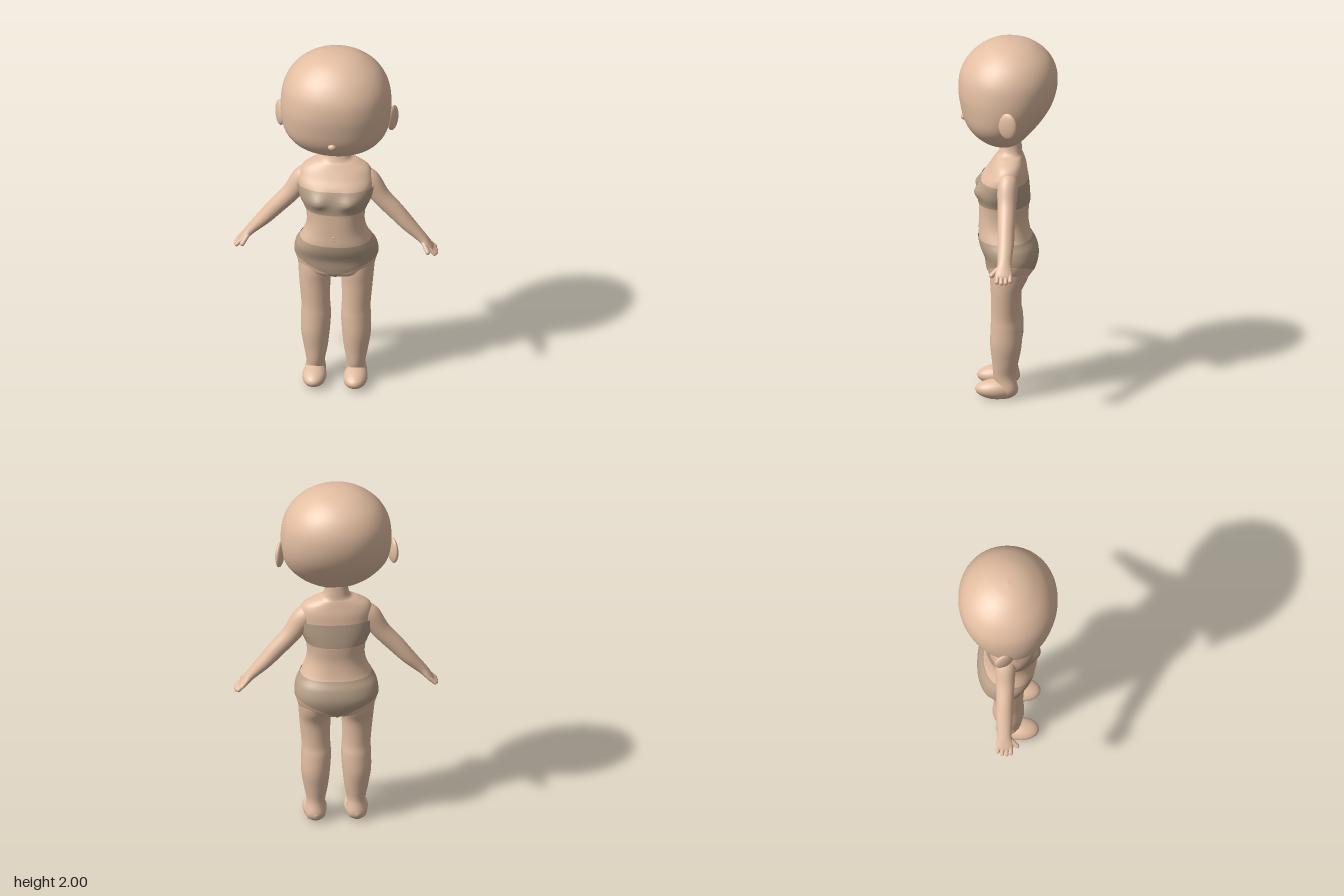
import * as THREE from 'three';

const skin = new THREE.MeshStandardMaterial({ color: 0xe3bea2 });
const cloth = new THREE.MeshStandardMaterial({ color: 0xb8a088, side: THREE.DoubleSide });

function mesh(name, geometry, material = skin) {
  const m = new THREE.Mesh(geometry, material);
  m.name = name;
  return m;
}

// Closed tube-like surface: fn(angle, t) gives a point
function surface(fn, nu = 48, nv = 60) {
  const pos = [], index = [];
  for (let j = 0; j <= nv; j++)
    for (let i = 0; i < nu; i++) pos.push(...fn((i / nu) * Math.PI * 2, j / nv));
  for (let j = 0; j < nv; j++)
    for (let i = 0; i < nu; i++) {
      const a = j * nu + i, b = j * nu + ((i + 1) % nu);
      index.push(a, a + nu, b, b, a + nu, b + nu);
    }
  const g = new THREE.BufferGeometry();
  g.setAttribute('position', new THREE.Float32BufferAttribute(pos, 3));
  g.setIndex(index);
  g.computeVertexNormals();
  return g;
}

// Smooth interpolation between section rows, t from 0 to 1
function rowAt(rows, t) {
  const n = rows.length - 1, f = t * n;
  const i = Math.min(Math.floor(f), n - 1), s = f - i;
  const [a, b, c, d] = [-1, 0, 1, 2].map(k => rows[Math.min(n, Math.max(0, i + k))]);
  return b.map((p1, k) => 0.5 * (2 * p1 + (c[k] - a[k]) * s
    + (2 * a[k] - 5 * p1 + 4 * c[k] - d[k]) * s * s
    + (3 * p1 - a[k] - 3 * c[k] + d[k]) * s * s * s));
}

// Same, looked up by height
function rowAtY(rows, y) {
  let lo = 0, hi = 1;
  for (let k = 0; k < 24; k++) {
    const mid = (lo + hi) / 2;
    if (rowAt(rows, mid)[0] < y) lo = mid; else hi = mid;
  }
  return rowAt(rows, lo);
}

// Point on a horizontal section: [y, centre x, half width, front z, back z]
function ringPoint([y, cx, rx, zf, zb], a, n = 2) {
  const pw = v => Math.sign(v) * Math.abs(v) ** (2 / n);
  return [cx + rx * pw(Math.cos(a)), y, (zf + zb) / 2 + ((zf - zb) / 2) * pw(Math.sin(a))];
}

const headRows = [
  [1.41, 0, 0.001, 0.02, 0.018], [1.415, 0, 0.09, 0.08, -0.045], [1.45, 0, 0.175, 0.145, -0.09],
  [1.5, 0, 0.235, 0.2, -0.135], [1.56, 0, 0.275, 0.235, -0.185], [1.64, 0, 0.293, 0.255, -0.235],
  [1.73, 0, 0.295, 0.265, -0.262], [1.82, 0, 0.278, 0.252, -0.26], [1.9, 0, 0.23, 0.205, -0.223],
  [1.96, 0, 0.155, 0.135, -0.155], [1.99, 0, 0.08, 0.068, -0.08], [2, 0, 0.001, 0, -0.002],
];
const torsoRows = [
  [0.645, 0, 0.001, 0, -0.005], [0.652, 0, 0.09, 0.05, -0.07], [0.68, 0, 0.175, 0.098, -0.12],
  [0.72, 0, 0.205, 0.112, -0.145], [0.78, 0, 0.22, 0.122, -0.16], [0.84, 0, 0.213, 0.145, -0.15],
  [0.89, 0, 0.187, 0.155, -0.125], [0.95, 0, 0.162, 0.155, -0.112], [1, 0, 0.154, 0.155, -0.108],
  [1.05, 0, 0.157, 0.155, -0.112], [1.09, 0, 0.165, 0.155, -0.115], [1.15, 0, 0.188, 0.155, -0.112],
  [1.22, 0, 0.2, 0.138, -0.105], [1.27, 0, 0.195, 0.105, -0.1], [1.31, 0, 0.172, 0.08, -0.09],
  [1.34, 0, 0.12, 0.062, -0.082], [1.36, 0, 0.078, 0.05, -0.076], [1.4, 0, 0.063, 0.037, -0.073],
  [1.46, 0, 0.062, 0.035, -0.07],
];
const legRows = [
  [0.008, 0.11, 0.001, 0, -0.002], [0.015, 0.11, 0.04, 0.03, -0.04], [0.05, 0.11, 0.055, 0.05, -0.058],
  [0.12, 0.108, 0.05, 0.072, -0.047], [0.2, 0.108, 0.064, 0.08, -0.06], [0.3, 0.11, 0.077, 0.09, -0.078],
  [0.4, 0.107, 0.08, 0.088, -0.075], [0.47, 0.108, 0.077, 0.085, -0.066], [0.6, 0.113, 0.083, 0.087, -0.075],
  [0.68, 0.112, 0.09, 0.092, -0.11], [0.74, 0.113, 0.092, 0.088, -0.122], [0.8, 0.115, 0.07, 0.07, -0.1],
];
// Arm sections: [x, y, z, thickness radius, depth radius]
const armRows = [
  [0.125, 1.265, -0.008, 0.045, 0.05], [0.175, 1.225, -0.006, 0.06, 0.056], [0.24, 1.13, -0.005, 0.05, 0.05],
  [0.32, 1.04, -0.005, 0.046, 0.046], [0.385, 0.965, -0.005, 0.039, 0.044], [0.455, 0.892, -0.002, 0.027, 0.037],
  [0.485, 0.857, 0, 0.021, 0.044], [0.51, 0.826, 0, 0.015, 0.045], [0.522, 0.811, 0, 0.001, 0.02],
];

// Torso point with the two chest swells
function torsoPoint(y, a, grow = 0) {
  const [cy, cx, rx, zf, zb] = rowAtY(torsoRows, y);
  const p = ringPoint([cy, cx, rx + grow, zf + grow, zb - grow], a, 2.3);
  if (p[2] > 0)
    p[2] += 0.028 * Math.exp(-(((Math.abs(p[0]) - 0.085) / 0.05) ** 2) - ((y - 1.16) / 0.04) ** 2);
  return p;
}

function capsule(name, from, to, r) {
  const a = new THREE.Vector3(...from), b = new THREE.Vector3(...to);
  const m = mesh(name, new THREE.CapsuleGeometry(r, a.distanceTo(b), 6, 14));
  m.position.copy(a).lerp(b, 0.5);
  m.quaternion.setFromUnitVectors(new THREE.Vector3(0, 1, 0), b.sub(a).normalize());
  return m;
}

function ball(name, x, y, z, rx, ry, rz) {
  const m = mesh(name, new THREE.SphereGeometry(1, 32, 24).scale(rx, ry, rz));
  m.position.set(x, y, z);
  return m;
}

// Ear, arm, hand, leg and foot of one side
function buildSide(name, sign) {
  const g = new THREE.Group();
  g.name = name;

  const ear = ball('ear', 0.302, 1.612, -0.012, 0.02, 0.073, 0.053);
  ear.rotation.y = -0.4;
  g.add(ear);

  g.add(mesh('arm', surface((a, t) => {
    const [x, y, z, r, rz] = rowAt(armRows, t);
    const p = rowAt(armRows, Math.max(0, t - 0.01)), q = rowAt(armRows, Math.min(1, t + 0.01));
    const dx = q[0] - p[0], dy = q[1] - p[1], l = Math.hypot(dx, dy);
    const c = Math.cos(a) * r;
    return [x - (dy / l) * c, y + (dx / l) * c, z - Math.sin(a) * rz];
  }, 32, 56)));
  [-0.036, -0.012, 0.012, 0.035].forEach((z, i) => {
    const reach = [0.7, 0.95, 1, 0.85][i];
    g.add(capsule('finger', [0.503, 0.837, z * 0.95], [0.503 + 0.032 * reach, 0.837 - 0.031 * reach, z], 0.0115));
  });
  g.add(capsule('thumb', [0.468, 0.872, 0.025], [0.496, 0.834, 0.066], 0.0125));

  g.add(mesh('leg', surface((a, t) => ringPoint(rowAt(legRows, t), a), 40, 60)));

  // Foot: a rounded form with a flat sole
  const foot = new THREE.SphereGeometry(1, 36, 28);
  const p = foot.attributes.position;
  for (let i = 0; i < p.count; i++) {
    const z = p.getZ(i);
    const width = 0.064 + 0.007 * z, height = 0.056 - 0.006 * z;
    p.setXYZ(i, 0.11 + p.getX(i) * width, Math.max(0, 0.047 + p.getY(i) * height), 0.055 + z * 0.115);
  }
  foot.computeVertexNormals();
  g.add(mesh('foot', foot));

  g.scale.x = sign;
  return g;
}

export function createModel() {
  const model = new THREE.Group();
  model.name = 'doll';

  model.add(mesh('head', surface((a, t) => ringPoint(rowAt(headRows, t), a, 2.08), 64, 72)));
  model.add(ball('nose', 0, 1.555, 0.234, 0.022, 0.018, 0.018));
  model.add(mesh('torso', surface((a, t) => torsoPoint(rowAt(torsoRows, t)[0], a), 72, 110)));

  const navel = mesh('navel', new THREE.TorusGeometry(0.007, 0.003, 8, 20));
  navel.scale.y = 1.5;
  navel.position.set(0, 0.94, 0.155);
  model.add(navel);

  // Chest band, flared a little towards the arms
  model.add(mesh('chestBand', surface((a, t) => {
    const p = torsoPoint(1.085 + 0.135 * t, a, 0.004);
    p[0] *= 1 + 0.03 * t;
    return p;
  }, 72, 20), cloth));

  // Briefs: straight waist, hem rising from the middle to the hips
  model.add(mesh('briefs', surface((a, t) => {
    const hem = 0.678 + 0.1 * Math.abs(Math.cos(a)) ** 0.9;
    return torsoPoint(hem + (0.89 - hem) * t, a, 0.004);
  }, 96, 24), cloth));
  const gusset = ball('gusset', 0, 0.682, -0.012, 0.035, 0.042, 0.1);
  gusset.material = cloth;
  model.add(gusset);

  model.add(buildSide('leftSide', 1), buildSide('rightSide', -1));
  return model;
}
